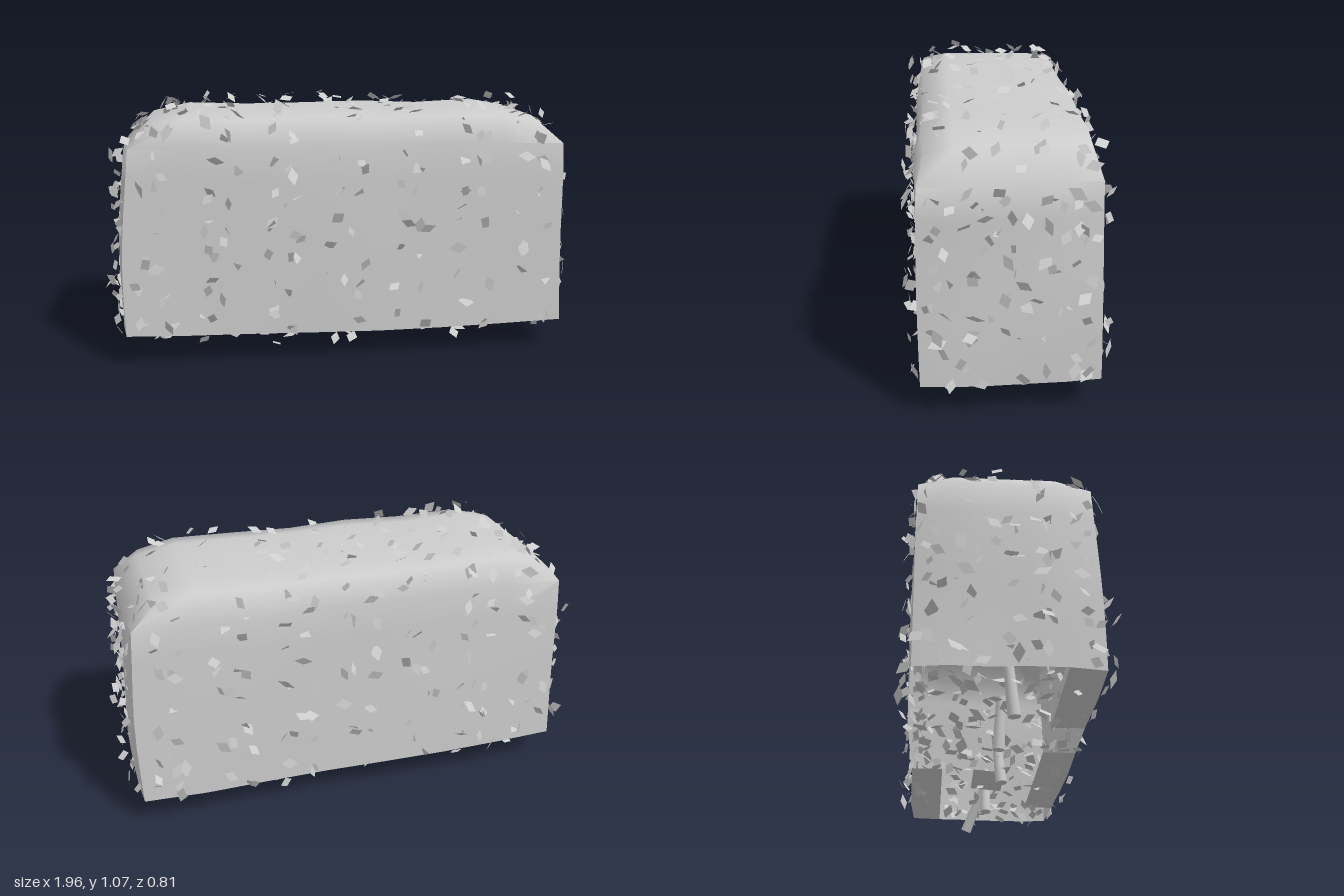
import * as THREE from 'three';
import { mergeGeometries, mergeVertices, toCreasedNormals } from 'three/addons/utils/BufferGeometryUtils.js';

const grey = new THREE.MeshStandardMaterial({ color: 0xcccccc, side: THREE.DoubleSide });
grey.name = 'pale grey';

// small seeded random, -1 to 1
let seed = 11;
const rand = () => {
  seed = (seed * 16807) % 2147483647;
  return (seed / 2147483647) * 2 - 1;
};

const W = 1.82, H = 0.88, D = 0.66, NX = 7, NY = 7, NZ = 5;

// clipped hedge: a box with tapered walls, softened shoulders and slight waviness
function shapedBox() {
  const geo = new THREE.BoxGeometry(W, H, D, NX, NY, NZ);
  const p = geo.attributes.position;
  for (let i = 0; i < p.count; i++) {
    let x = p.getX(i), y = p.getY(i), z = p.getZ(i);
    const t = y / H + 0.5;
    const end = Math.abs(x) > W / 2 - 0.01, side = Math.abs(z) > D / 2 - 0.01;
    const top = t > 0.99, bottom = t < 0.01;
    y += 0.5 * H + 0.12;
    if (bottom && z > 0) y -= 0.012 * Math.cos(x * 2 - 0.4);
    x *= 1.005 - (x < 0 ? 0.05 : 0.03) * t * t;
    z *= 1.02 - 0.04 * t * t;
    if (top && end) { x *= 0.89; y -= 0.025; }
    if (top && side) { z *= 0.92; y -= 0.015; }
    // upright corners sit slightly inside the walls, more so at the -x end
    if (end && side) { x *= x < 0 ? 0.975 : 0.99; z *= 0.975; }
    if (side) z += 0.005 * Math.sin(x * 6 + y * 4);
    if (end) x += 0.006 * Math.sin(y * 7 + z * 5);
    if (!bottom) y += 0.006 * Math.sin(x * 10 + 1.7 + z * 3);
    p.setXYZ(i, x, y, z);
  }
  return geo;
}

// the underside is open except for a few cells, given as column,row
const keptCells = ['0,0', '1,0', '3,0', '4,0', '5,0', '4,2', '4,4', '5,4', '6,4'];

function hedgeBody(box) {
  const index = Array.from(box.index.array), floor = box.groups[3], kept = [];
  for (let row = 0; row < NZ; row++) {
    for (let col = 0; col < NX; col++) {
      const s = floor.start + (row * NX + col) * 6;
      if (keptCells.includes(`${col},${row}`)) kept.push(...index.slice(s, s + 6));
    }
  }
  const geo = box.clone();
  geo.clearGroups();
  geo.deleteAttribute('uv');
  geo.deleteAttribute('normal');
  geo.setIndex([...index.slice(0, floor.start), ...kept, ...index.slice(floor.start + floor.count)]);
  return toCreasedNormals(mergeVertices(geo), 1.3);
}

// two loose diamond leaves near every facet of the box, inside or out,
// facing roughly along the surface normal
function leafGeometry(box) {
  const shape = new THREE.Shape([
    new THREE.Vector2(0, -0.034), new THREE.Vector2(0.022, 0.003),
    new THREE.Vector2(0, 0.034), new THREE.Vector2(-0.022, -0.003),
  ]);
  const leaf = new THREE.ShapeGeometry(shape);
  const pos = box.attributes.position, idx = box.index;
  const [a, b, c] = [0, 1, 2].map(() => new THREE.Vector3());
  const tri = new THREE.Triangle(a, b, c);
  const mid = new THREE.Vector3(), n = new THREE.Vector3(), holder = new THREE.Object3D();
  const leaves = [];
  for (let i = 0; i < idx.count; i += 3) {
    [a, b, c].forEach((v, k) => v.fromBufferAttribute(pos, idx.getX(i + k)));
    tri.getMidpoint(mid);
    tri.getNormal(n);
    for (let k = 0; k < 2; k++) {
      holder.position.copy(mid).addScaledVector(n, 0.03 * rand());
      holder.position.x += 0.03 * rand();
      holder.position.y += 0.03 * rand();
      holder.position.z += 0.03 * rand();
      holder.lookAt(n.clone().add(holder.position));
      holder.rotateZ(Math.PI * rand());
      holder.rotateX(0.8 * rand());
      holder.rotateY(0.8 * rand());
      holder.scale.setScalar(0.95 + 0.2 * rand());
      holder.updateMatrix();
      leaves.push(leaf.clone().applyMatrix4(holder.matrix));
    }
  }
  return mergeGeometries(leaves);
}

// tapered stem between two points
function stem(foot, tip) {
  const from = new THREE.Vector3(...foot), to = new THREE.Vector3(...tip);
  const dir = to.clone().sub(from);
  const mesh = new THREE.Mesh(new THREE.CylinderGeometry(0.018, 0.024, dir.length(), 8), grey);
  mesh.position.copy(from).add(to).multiplyScalar(0.5);
  mesh.quaternion.setFromUnitVectors(new THREE.Vector3(0, 1, 0), dir.normalize());
  mesh.name = 'stem';
  return mesh;
}

export function createModel() {
  seed = 11;
  const model = new THREE.Group();
  model.name = 'hedge';
  const box = shapedBox();

  const body = new THREE.Mesh(hedgeBody(box), grey);
  body.name = 'hedgeBody';
  const leaves = new THREE.Mesh(leafGeometry(box), grey);
  leaves.name = 'leaves';
  model.add(body, leaves);

  const stems = new THREE.Group();
  stems.name = 'stems';
  [
    [[-0.75, 0.01, 0.03], [-0.75, 0.22, 0.01]],
    [[-0.42, 0.01, 0], [-0.43, 0.22, 0.01]],
    [[-0.03, 0.01, 0.04], [0, 0.22, 0.02]],
    [[0.39, 0.01, 0], [0.43, 0.22, 0]],
    [[0.73, 0.01, -0.075], [0.67, 0.22, 0.01]],
  ].forEach(([foot, tip]) => stems.add(stem(foot, tip)));
  model.add(stems);
  return model;
}
